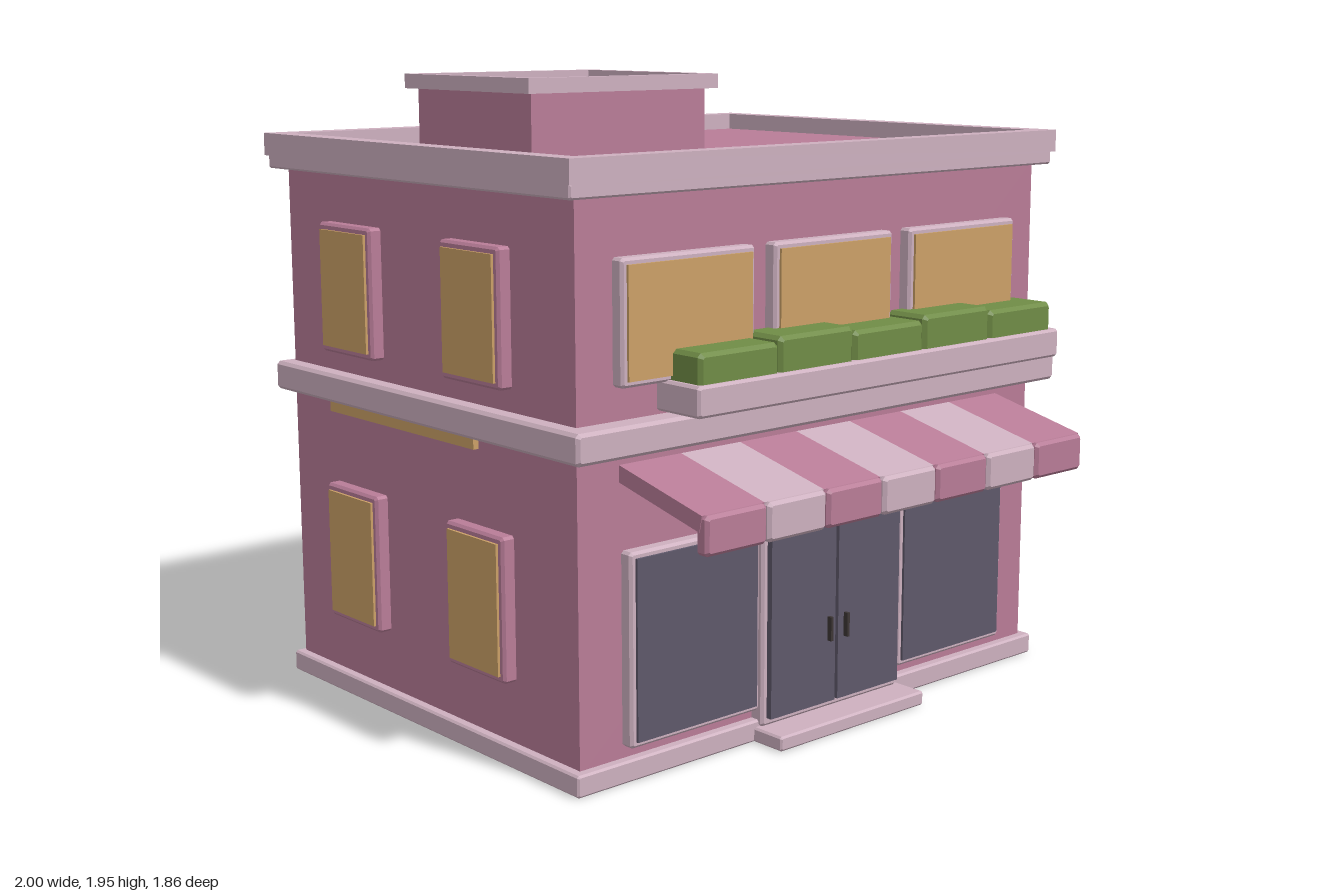
import * as THREE from 'three';

const paint = (name, color) => {
  const m = new THREE.MeshStandardMaterial({ color });
  m.name = name;
  return m;
};

export function createModel() {
  const rose = paint('rose wall', 0xb87c97);
  const trim = paint('pale trim', 0xcdb0bf);
  const amber = paint('amber glass', 0xcba067);
  const glass = paint('dark glass', 0x5e586a);
  const green = paint('hedge green', 0x708c46);
  const dark = paint('dark door', 0x3d3635);

  const model = new THREE.Group();
  model.name = 'shopBuilding';

  const add = (parent, name, geometry, material) => {
    const mesh = new THREE.Mesh(geometry, material);
    mesh.name = name;
    parent.add(mesh);
    return mesh;
  };

  // Box given by its limits, with chamfered edges when b > 0
  const block = (x0, x1, y0, y1, z0, z1, b = 0) => {
    if (!b) {
      return new THREE.BoxGeometry(x1 - x0, y1 - y0, z1 - z0)
        .translate((x0 + x1) / 2, (y0 + y1) / 2, (z0 + z1) / 2);
    }
    const s = new THREE.Shape([
      [x0 + b, y0], [x1 - b, y0], [x1, y0 + b], [x1, y1 - b],
      [x1 - b, y1], [x0 + b, y1], [x0, y1 - b], [x0, y0 + b],
    ].map(([x, y]) => new THREE.Vector2(x, y)));
    return new THREE.ExtrudeGeometry(s, {
      depth: z1 - z0 - 2 * b, bevelThickness: b, bevelSize: b, bevelOffset: -b, bevelSegments: 1,
    }).translate(0, 0, z0 + b);
  };

  // Flat rectangular ring lying on the roof
  const rim = (x0, x1, z0, z1, t, y0, y1) => {
    const rect = (Type, i) => new Type([
      new THREE.Vector2(x0 + i, -z1 + i), new THREE.Vector2(x1 - i, -z1 + i),
      new THREE.Vector2(x1 - i, -z0 - i), new THREE.Vector2(x0 + i, -z0 - i),
    ]);
    const s = rect(THREE.Shape, 0);
    s.holes.push(rect(THREE.Path, t));
    return new THREE.ExtrudeGeometry(s, { depth: y1 - y0, bevelEnabled: false })
      .rotateX(-Math.PI / 2).translate(0, y0, 0);
  };

  // Main body, plinth, floor band and doorstep
  add(model, 'walls', block(-0.945, 0.945, 0.05, 1.66, -0.88, 0.57), rose);
  add(model, 'plinth', block(-0.975, 0.975, 0, 0.065, -0.9, 0.6, 0.006), trim);
  add(model, 'doorstep', block(-0.31, 0.31, 0, 0.045, 0.55, 0.715, 0.006), trim);
  add(model, 'floorBand', block(-1, 1, 0.945, 1.035, -0.91, 0.645, 0.01), trim);

  // Roof with cornice and raised parapet
  add(model, 'cornice', block(-0.992, 0.992, 1.65, 1.695, -0.922, 0.612, 0.006), trim);
  add(model, 'roof', block(-0.95, 0.95, 1.66, 1.705, -0.88, 0.57), rose);
  add(model, 'parapet', rim(-1, 1, -0.93, 0.622, 0.067, 1.69, 1.76), trim);
  add(model, 'roofHouse', block(-0.65, 0.03, 1.7, 1.91, -0.58, 0), rose);
  add(model, 'roofHouseRim', rim(-0.68, 0.06, -0.61, 0.03, 0.035, 1.9, 1.945), trim);

  // One group per wall; local +z points out of the wall
  const face = (name, angle, distance) => {
    const g = new THREE.Group();
    g.name = name;
    g.rotation.y = angle;
    g.position.set(Math.sin(angle) * distance, 0, Math.cos(angle) * distance);
    model.add(g);
    return g;
  };
  const pane = (wall, name, x0, x1, y0, y1, depth, edge, frameMat, paneMat) => {
    add(wall, name + 'Frame', block(x0, x1, y0, y1, -0.01, depth, 0.008), frameMat);
    add(wall, name + 'Glass',
      block(x0 + edge, x1 - edge, y0 + edge, y1 - edge, depth - 0.001, depth + 0.008), paneMat);
  };

  // Front: three upper windows, two display windows
  const front = face('frontWall', 0, 0.57);
  for (const x of [-0.57, 0, 0.57]) {
    pane(front, 'upperWindow', x - 0.247, x + 0.247, 1.13, 1.485, 0.04, 0.018, trim, amber);
  }
  for (const x of [-0.545, 0.545]) {
    pane(front, 'displayWindow', x - 0.247, x + 0.247, 0.1, 0.668, 0.04, 0.018, trim, glass);
  }

  // Double door with handles
  add(front, 'doorFrame', block(-0.293, 0.293, 0.045, 0.7, -0.01, 0.045, 0.008), trim);
  for (const s of [-1, 1]) {
    const a = s * 0.006, b = s * 0.274;
    add(front, 'doorLeaf', block(Math.min(a, b), Math.max(a, b), 0.07, 0.682, 0.04, 0.064), glass);
    add(front, 'doorHandle', block(s * 0.035 - 0.005, s * 0.035 + 0.005, 0.265, 0.34, 0.06, 0.08), dark);
  }

  // Both sides: four windows and a thin lamp strip under the floor band
  for (const s of [1, -1]) {
    const side = face(s > 0 ? 'leftWall' : 'rightWall', s * Math.PI / 2, 0.945);
    side.position.z = 0;
    for (const z of [0.142, -0.503]) {
      const u = -s * z;
      pane(side, 'upperWindow', u - 0.142, u + 0.142, 1.1, 1.5, 0.042, 0.02, rose, amber);
      pane(side, 'lowerWindow', u - 0.14, u + 0.14, 0.25, 0.68, 0.042, 0.02, rose, amber);
    }
    const c = s * 0.23;
    add(side, 'lampStrip', block(c - 0.38, c + 0.38, 0.913, 0.95, 0.022, 0.04), amber);
  }

  // Back: door and two windows
  const back = face('backWall', Math.PI, 0.88);
  add(back, 'backDoor', block(-0.15, 0.16, 0.065, 0.665, -0.01, 0.04, 0.006), dark);
  for (const x of [-0.435, 0.435]) {
    pane(back, 'backWindow', x - 0.145, x + 0.145, 1.14, 1.485, 0.036, 0.025, trim, glass);
  }

  // Planter with five hedge blocks
  add(model, 'planter', block(-0.66, 0.89, 1.045, 1.135, 0.56, 0.745, 0.008), trim);
  for (let i = 0; i < 5; i++) {
    const x = -0.642 + i * 0.302;
    add(model, 'hedge', block(x, x + 0.3, 1.11, i % 2 ? 1.237 : 1.222, 0.57, 0.73, 0.012), green);
  }

  // Striped awning: sloping strips, each with a hanging valance
  const profile = new THREE.Shape([
    [0.56, 0.865], [0.9, 0.785], [0.91, 0.832], [0.56, 0.914],
  ].map(([z, y]) => new THREE.Vector2(z, y)));
  const w = 1.59 / 7;
  for (let i = 0; i < 7; i++) {
    const x = -0.798 + i * w;
    const mat = i % 2 ? trim : rose;
    add(model, 'awningStripe', new THREE.ExtrudeGeometry(profile, { depth: w, bevelEnabled: false })
      .rotateY(-Math.PI / 2).translate(x + w, 0, 0), mat);
    add(model, 'awningValance', block(x + 0.002, x + w - 0.002, 0.72, 0.832, 0.88, 0.928, 0.01), mat);
  }

  return model;
}
